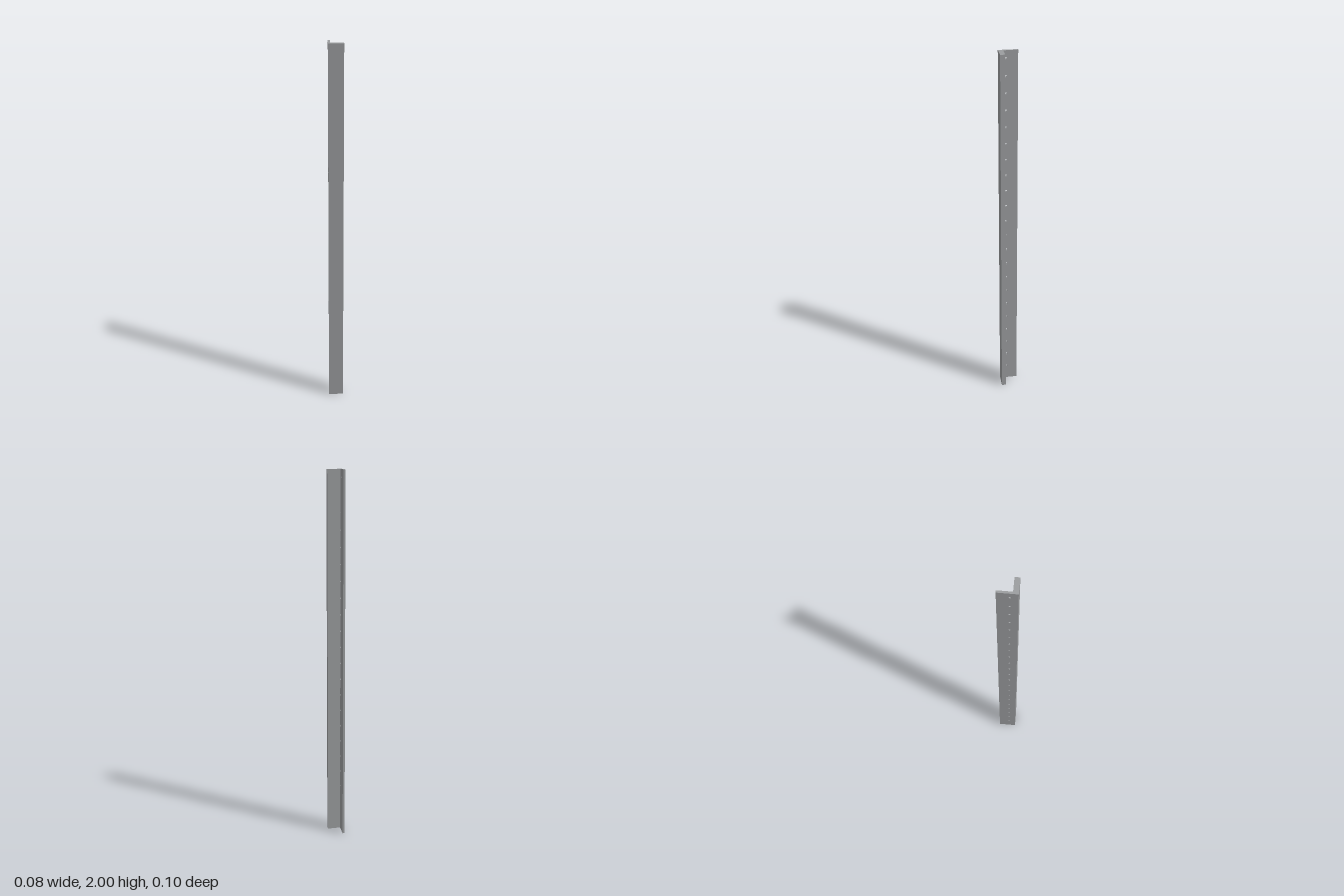
import * as THREE from 'three';

export function createModel() {
  const steel = new THREE.MeshStandardMaterial({ color: 0x9b9d9f });
  steel.name = 'grey steel';
  const group = new THREE.Group();
  group.name = 'angleProfile';

  const height = 2, halfX = 0.04, halfZ = 0.049;
  const frontThickness = 0.025, legThickness = 0.011;
  const innerZ = halfZ - frontThickness;

  // Thick front flange
  const front = new THREE.Mesh(new THREE.BoxGeometry(halfX * 2, height, frontThickness), steel);
  front.name = 'frontFlange';
  front.position.set(0, height / 2, halfZ - frontThickness / 2);
  group.add(front);

  // Thin side flange, drawn in the (-z, y) plane, with a row of drilled holes
  const shape = new THREE.Shape();
  shape.moveTo(-innerZ, 0);
  shape.lineTo(halfZ, 0);
  shape.lineTo(halfZ, height);
  shape.lineTo(-innerZ, height);
  shape.closePath();
  for (let i = 0; i < 22; i++) {
    const hole = new THREE.Path();
    hole.absarc(-0.012, 0.088 + i * 0.0892, 0.006, 0, Math.PI * 2, true);
    shape.holes.push(hole);
  }
  const sideGeometry = new THREE.ExtrudeGeometry(shape, {
    depth: legThickness, bevelEnabled: false, curveSegments: 16,
  });
  sideGeometry.rotateY(Math.PI / 2);
  const side = new THREE.Mesh(sideGeometry, steel);
  side.name = 'drilledSideFlange';
  side.position.x = -halfX;
  group.add(side);

  return group;
}
